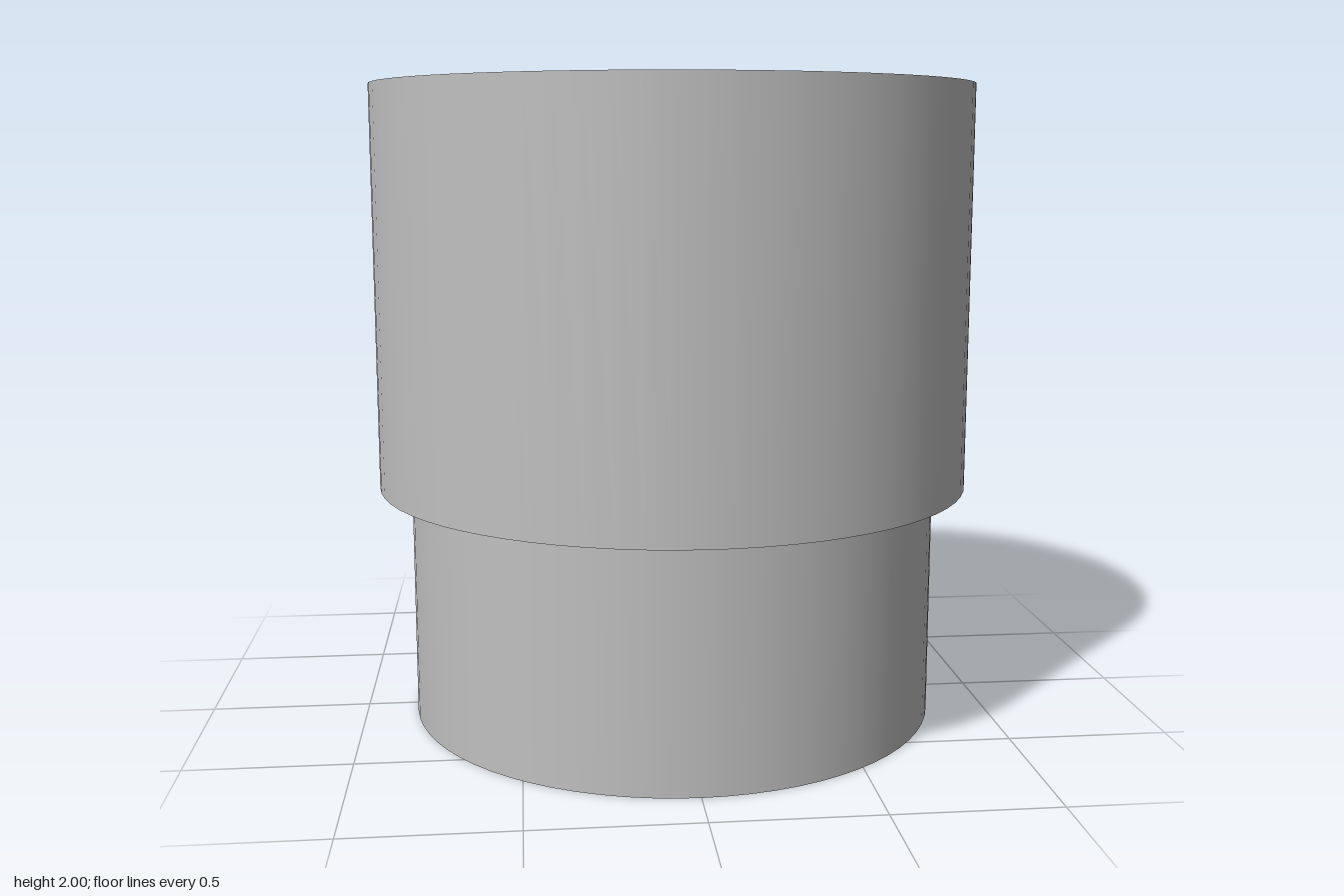
import * as THREE from 'three';

const HEIGHT = 2, STEP_Y = 0.745;
const HEAD_R = 0.94, NECK_R = 0.84, BORE_R = 0.335;
const BOLT_R = 0.135, BOLT_CIRCLE = 0.605, BOLTS = 6;
const SEGMENTS = 72;

// Hole centres, the first one on the z axis
const boltCentres = Array.from({ length: BOLTS }, (_, i) => {
  const a = Math.PI / 2 + (i * 2 * Math.PI) / BOLTS;
  return [BOLT_CIRCLE * Math.cos(a), BOLT_CIRCLE * Math.sin(a)];
});

// Round wall: faces outward when it runs upward, inward when it runs downward
function wall(radius, fromY, toY) {
  return new THREE.LatheGeometry(
    [new THREE.Vector2(radius, fromY), new THREE.Vector2(radius, toY)], SEGMENTS);
}

// Flat disc pierced by the centre bore and the bolt holes
function piercedDisc(radius) {
  const shape = new THREE.Shape().absarc(0, 0, radius, 0, Math.PI * 2);
  const addHole = (x, y, r) =>
    shape.holes.push(new THREE.Path().absarc(x, y, r, 0, Math.PI * 2, true));
  addHole(0, 0, BORE_R);
  for (const [x, y] of boltCentres) addHole(x, y, BOLT_R);
  return new THREE.ShapeGeometry(shape, SEGMENTS / 2);
}

export function createModel() {
  const model = new THREE.Group();
  model.name = 'steppedBushing';
  const metal = new THREE.MeshStandardMaterial({ color: 0xc0c0c0 });
  metal.name = 'grey metal';

  const add = (name, geometry, x = 0, y = 0, z = 0) => {
    const mesh = new THREE.Mesh(geometry, metal);
    mesh.name = name;
    mesh.position.set(x, y, z);
    model.add(mesh);
  };

  // Outer walls and the shoulder between them
  add('headWall', wall(HEAD_R, STEP_Y, HEIGHT));
  add('neckWall', wall(NECK_R, 0, STEP_Y));
  add('shoulder', new THREE.RingGeometry(NECK_R, HEAD_R, SEGMENTS).rotateX(Math.PI / 2), 0, STEP_Y);

  // End faces
  add('topFace', piercedDisc(HEAD_R).rotateX(-Math.PI / 2), 0, HEIGHT);
  add('bottomFace', piercedDisc(NECK_R).rotateX(Math.PI / 2));

  // Through holes
  add('centreBore', wall(BORE_R, HEIGHT, 0));
  for (const [x, z] of boltCentres) add('boltHole', wall(BOLT_R, HEIGHT, 0), x, 0, z);

  return model;
}
